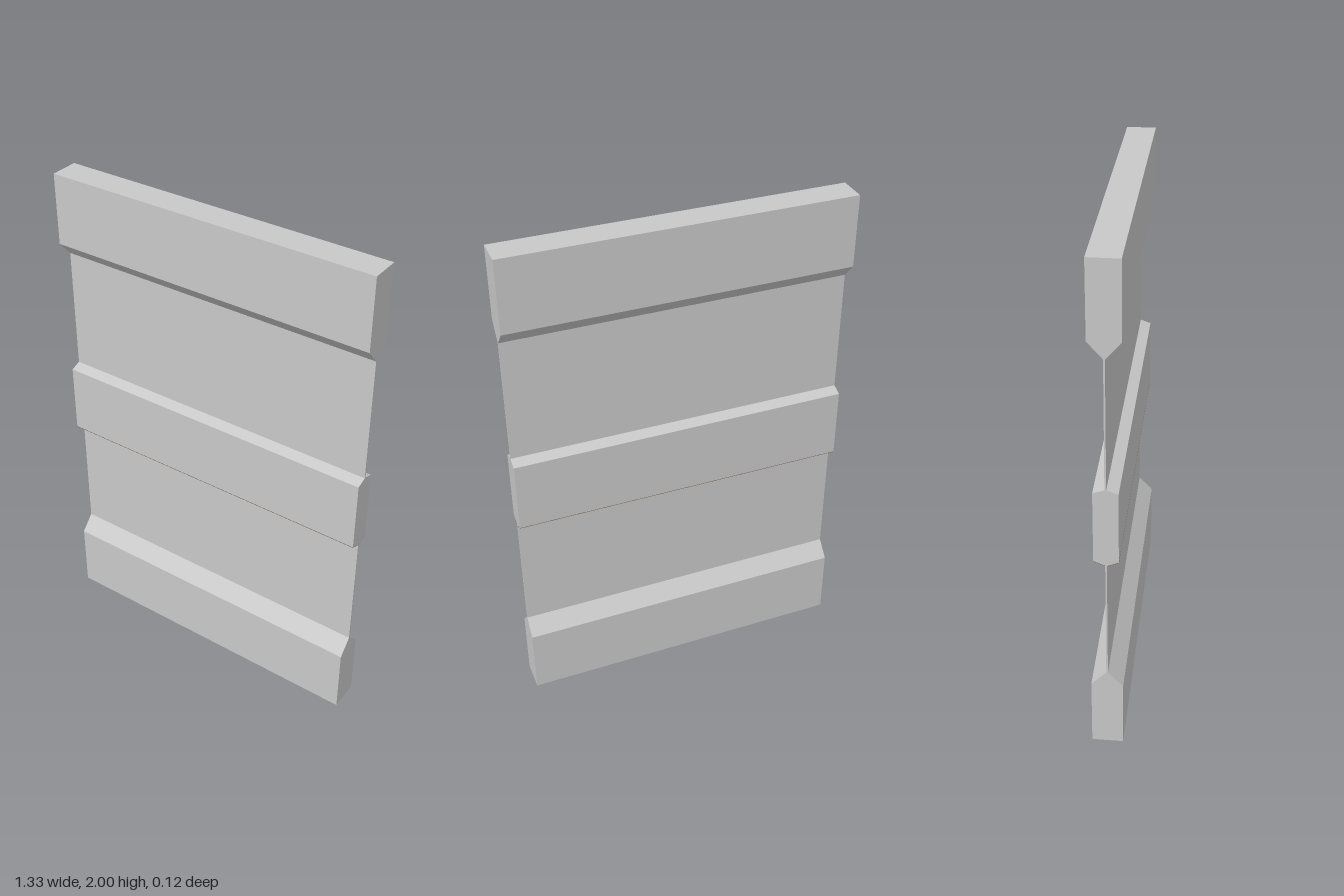
import * as THREE from 'three';

const WIDTH = 1.33;
const T = 0.003; // half thickness of the thin panels

// Extrudes a front-back symmetric profile, given as [half depth, y] from bottom to top, along x
function slab(name, half, material) {
  const pts = [
    ...half.map(([z, y]) => new THREE.Vector2(z, y)),
    ...half.slice().reverse().map(([z, y]) => new THREE.Vector2(-z, y)),
  ];
  const geo = new THREE.ExtrudeGeometry(new THREE.Shape(pts), { depth: WIDTH, bevelEnabled: false });
  geo.translate(0, 0, -WIDTH / 2);
  geo.rotateY(-Math.PI / 2); // profile x becomes z, extrusion runs along x
  const mesh = new THREE.Mesh(geo, material);
  mesh.name = name;
  return mesh;
}

export function createModel() {
  const grey = new THREE.MeshStandardMaterial({ color: 0xc8c8c8 });
  grey.name = 'light grey';
  const brown = new THREE.MeshStandardMaterial({ color: 0x6a5a4a, side: THREE.DoubleSide });
  brown.name = 'dark brown';

  const group = new THREE.Group();
  group.name = 'railedPanel';

  // Chamfered rails
  group.add(slab('bottomRail', [[0.06, 0], [0.06, 0.285], [T, 0.347]], grey));
  group.add(slab('middleRail', [[T, 0.842], [0.045, 0.86], [0.045, 1.145], [T, 1.16]], grey));
  group.add(slab('topRail', [[T, 1.656], [0.057, 1.717], [0.057, 2]], grey));

  // Thin panels between the rails
  group.add(slab('lowerPanel', [[T, 0.347], [T, 0.842]], grey));
  group.add(slab('upperPanel', [[T, 1.16], [T, 1.656]], grey));

  // Dark faces on the underside chamfers of the middle rail
  for (const side of [1, -1]) {
    const strip = new THREE.Mesh(new THREE.PlaneGeometry(WIDTH, Math.hypot(0.042, 0.018)), brown);
    strip.name = side > 0 ? 'frontUnderStrip' : 'backUnderStrip';
    strip.position.set(0, 0.851 - 0.0015, side * (0.024 + 0.0006));
    strip.rotation.x = side * Math.atan2(0.042, 0.018);
    group.add(strip);
  }
  return group;
}
